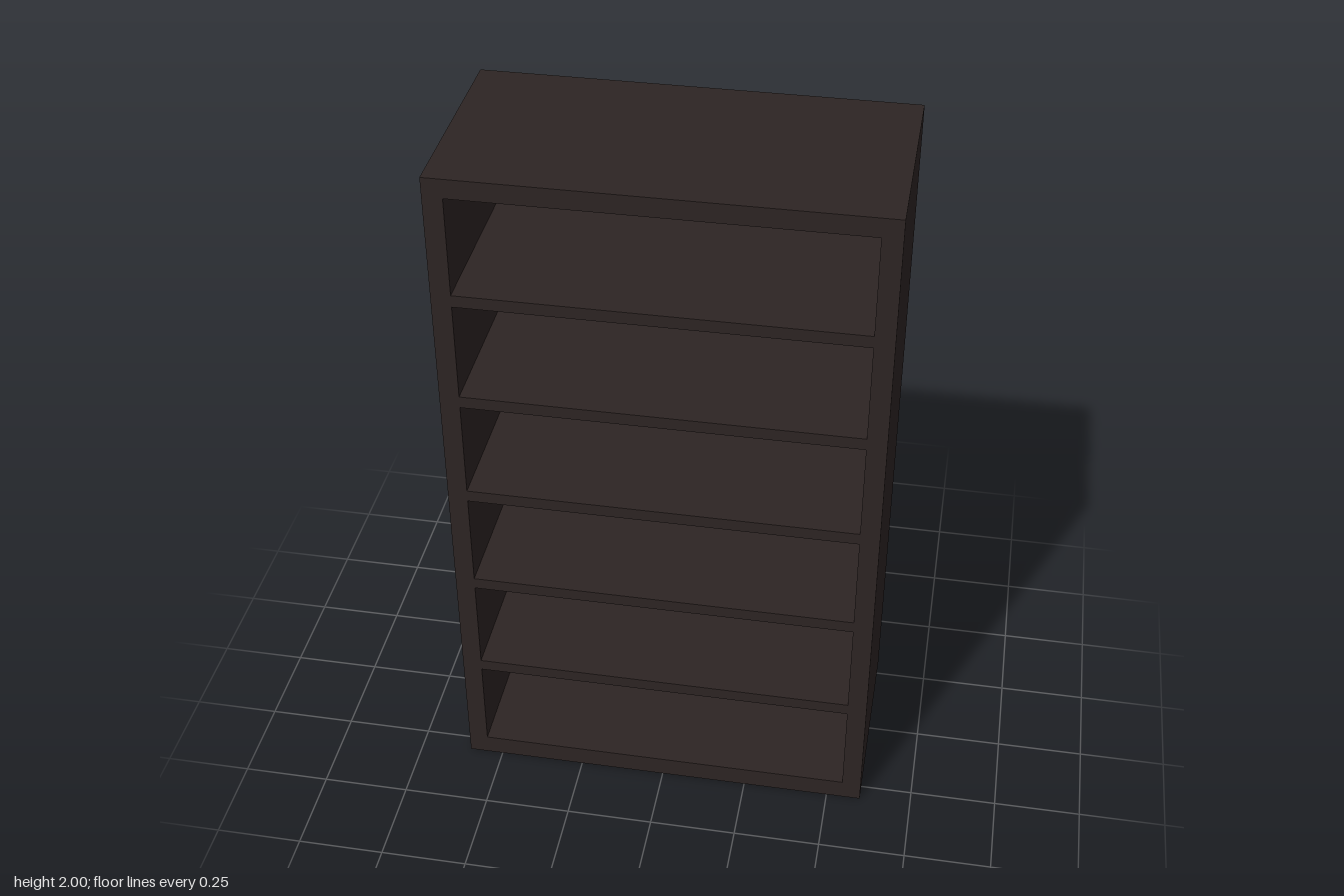
import * as THREE from 'three';

export function createModel() {
  const group = new THREE.Group();
  const darkWood = new THREE.MeshStandardMaterial({ color: 0x2d2423 });
  darkWood.name = 'darkWood';

  const width = 1.2, height = 2, depth = 0.6, backThickness = 0.05;
  const openingHalfWidth = 0.545, openingHeight = 0.285, pitch = 0.32, firstBottom = 0.06;

  const rectangle = (path, x0, y0, x1, y1) => {
    path.moveTo(x0, y0);
    path.lineTo(x1, y0);
    path.lineTo(x1, y1);
    path.lineTo(x0, y1);
    path.closePath();
    return path;
  };

  // Carcass: sides, top, base and shelves around six equal compartments
  const outline = rectangle(new THREE.Shape(), -width / 2, 0, width / 2, height);
  for (let i = 0; i < 6; i++) {
    const bottom = firstBottom + i * pitch;
    outline.holes.push(
      rectangle(new THREE.Path(), -openingHalfWidth, bottom, openingHalfWidth, bottom + openingHeight)
    );
  }
  const frameGeometry = new THREE.ExtrudeGeometry(outline, {
    depth: depth - backThickness,
    bevelEnabled: false,
  });
  const frame = new THREE.Mesh(frameGeometry, darkWood);
  frame.name = 'shelfFrame';
  frame.position.z = -depth / 2 + backThickness;
  group.add(frame);

  // Back panel closing the compartments
  const back = new THREE.Mesh(new THREE.BoxGeometry(width, height, backThickness), darkWood);
  back.name = 'backPanel';
  back.position.set(0, height / 2, -depth / 2 + backThickness / 2);
  group.add(back);

  group.name = 'bookcase';
  return group;
}
